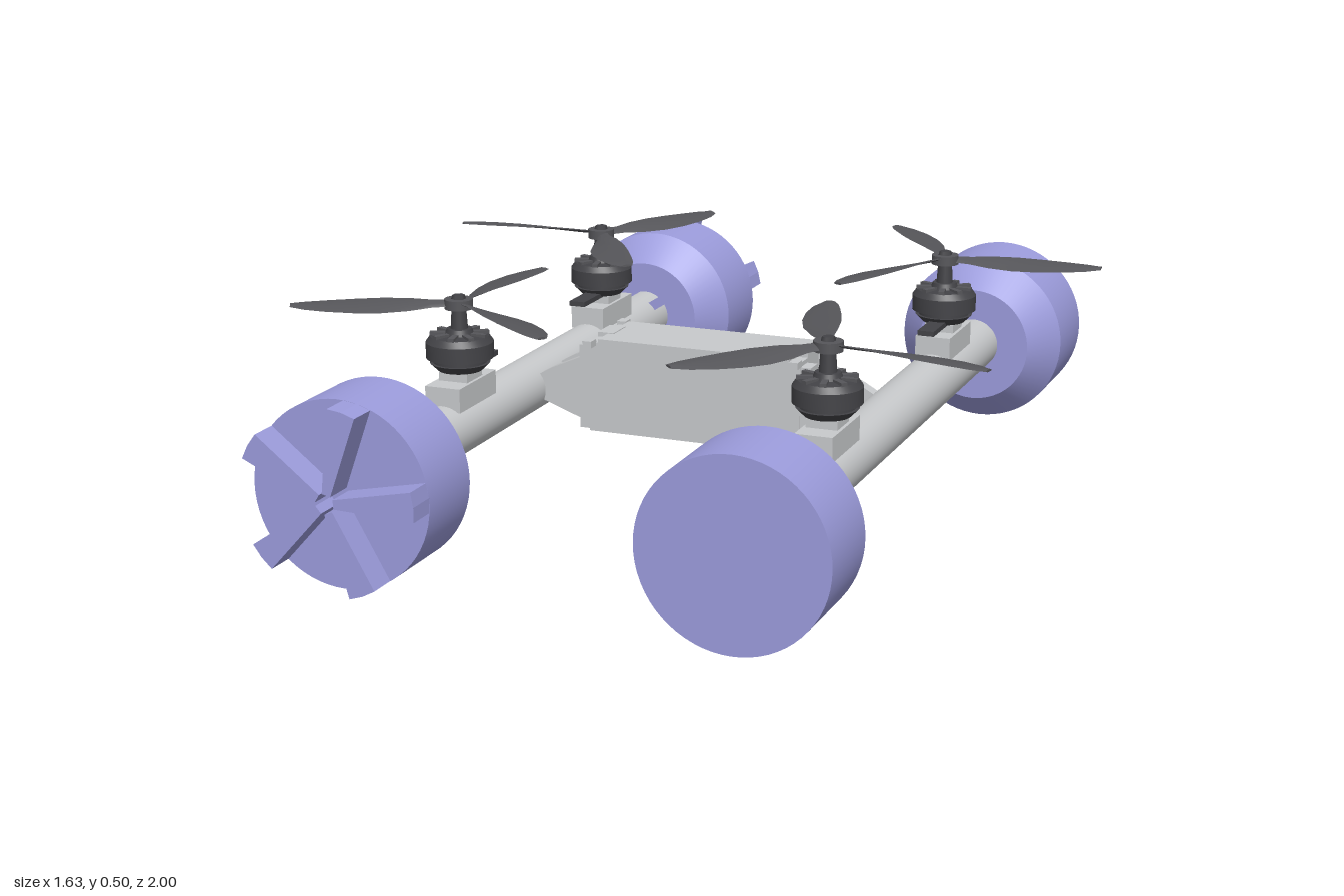
import * as THREE from 'three';
import { toCreasedNormals } from 'three/addons/utils/BufferGeometryUtils.js';

const mat = (name, color, side = THREE.FrontSide) => {
  const m = new THREE.MeshStandardMaterial({ color, side });
  m.name = name;
  return m;
};

export function createModel() {
  const model = new THREE.Group();
  model.name = 'tubeFrameQuadcopter';
  const purple = mat('lavender plastic', 0x9c9cdc);
  const grey = mat('light grey plastic', 0xc8cacc, THREE.DoubleSide);
  const dark = mat('dark grey propeller', 0x56565a);
  const black = mat('charcoal motor', 0x434347);

  const add = (parent, name, geo, material, x = 0, y = 0, z = 0) => {
    const mesh = new THREE.Mesh(geo, material);
    mesh.name = name;
    mesh.position.set(x, y, z);
    parent.add(mesh);
    return mesh;
  };
  const box = (p, name, m, w, h, d, x, y, z) => add(p, name, new THREE.BoxGeometry(w, h, d), m, x, y, z);
  const cyl = (p, name, m, rTop, rBottom, h, x, y, z, seg = 32) =>
    add(p, name, new THREE.CylinderGeometry(rTop, rBottom, h, seg), m, x, y, z);
  const lathe = (pts, seg = 48) =>
    toCreasedNormals(new THREE.LatheGeometry(pts.map(p => new THREE.Vector2(...p)), seg), 0.5);

  // Float: chamfered drum along +z, optionally with five raised radial ribs
  const R = 0.205, tubeX = 0.441, tubeR = 0.063;
  function makeFloat(name, inner, chamferEnd, outer, ribAngle) {
    const g = new THREE.Group();
    g.name = name;
    const drum = lathe([[0, inner], [0.14, inner], [R, chamferEnd], [R, outer], [0, outer]], 64);
    add(g, 'drum', drum.rotateX(Math.PI / 2), purple);
    if (ribAngle !== null) {
      const wedge = new THREE.Shape([[0.02, -0.01], [0.202, -0.032], [0.205, 0], [0.202, 0.032], [0.02, 0.01]]
        .map(p => new THREE.Vector2(...p)));
      const geo = new THREE.ExtrudeGeometry(wedge, { depth: 1.0 - outer + 0.004, bevelEnabled: false });
      for (let i = 0; i < 5; i++) {
        add(g, 'rib', geo, purple, 0, 0, outer - 0.004).rotation.z = ribAngle + i * Math.PI * 0.4;
      }
    }
    return g;
  }

  // Propeller blade along +x, lofted from thin pitched sections
  function bladeGeometry(spin) {
    const stations = [ // radius, chord, sweep, pitch
      [0.015, 0.026, 0, 0.5], [0.06, 0.034, 0.002, 0.42], [0.11, 0.062, 0.006, 0.32], [0.17, 0.084, 0.010, 0.23],
      [0.23, 0.087, 0.010, 0.17], [0.29, 0.076, 0.006, 0.13], [0.34, 0.056, -0.001, 0.10], [0.372, 0.028, -0.008, 0.08]];
    const section = [[-0.5, 0], [-0.2, 0.0035], [0.2, 0.003], [0.5, 0], [0.2, -0.002], [-0.2, -0.002]];
    const n = section.length, pos = [], idx = [];
    for (const [r, chord, sweep, pitch] of stations) {
      for (const [u, t] of section) {
        const w = u * chord;
        pos.push(r, w * Math.sin(pitch) * 0.8 * spin + t, -sweep * spin + w * Math.cos(pitch));
      }
    }
    for (let i = 0; i < stations.length - 1; i++) {
      for (let j = 0; j < n; j++) {
        const a = i * n + j, b = i * n + (j + 1) % n;
        idx.push(a, b, a + n, b, b + n, a + n);
      }
    }
    const last = (stations.length - 1) * n;
    for (let j = 1; j < n - 1; j++) idx.push(0, j + 1, j, last, last + j, last + j + 1);
    const geo = new THREE.BufferGeometry();
    geo.setAttribute('position', new THREE.Float32BufferAttribute(pos, 3));
    geo.setIndex(idx);
    geo.computeVertexNormals();
    return toCreasedNormals(geo, 0.6);
  }

  // Motor with mount, wire plate toward the middle, and three-bladed propeller
  function makeRotor(name, x, z, angle, spin) {
    const g = new THREE.Group();
    g.name = name;
    g.position.set(x, 0, z);
    const inward = -Math.sign(z);
    box(g, 'motorMount', grey, 0.085, 0.055, 0.18, 0, 0.285, 0);
    box(g, 'mountNeck', grey, 0.07, 0.022, 0.075, 0, 0.321, 0);
    box(g, 'wirePlate', black, 0.04, 0.012, 0.15, 0, 0.336, inward * 0.075);
    cyl(g, 'motorBase', black, 0.068, 0.05, 0.018, 0, 0.342, 0);
    cyl(g, 'stator', black, 0.06, 0.06, 0.03, 0, 0.358, 0);
    add(g, 'motorBell', lathe([[0, 0.362], [0.076, 0.362], [0.076, 0.398], [0.066, 0.412], [0.035, 0.414], [0, 0.414]], 36), black);
    for (let i = 0; i < 9; i++) {
      const a = i * Math.PI * 2 / 9;
      const s = box(g, 'bellSpoke', dark, 0.045, 0.014, 0.014, 0.044 * Math.cos(a), 0.412, -0.044 * Math.sin(a));
      s.rotation.y = a;
    }
    cyl(g, 'bellCap', black, 0.028, 0.034, 0.016, 0, 0.42, 0);
    cyl(g, 'shaft', black, 0.016, 0.02, 0.06, 0, 0.45, 0, 20);
    cyl(g, 'propellerHub', dark, 0.032, 0.032, 0.022, 0, 0.484, 0);
    cyl(g, 'shaftNut', black, 0.014, 0.018, 0.014, 0, 0.497, 0, 6);
    const blade = bladeGeometry(spin);
    for (let i = 0; i < 3; i++) {
      add(g, 'propellerBlade', blade, dark, 0, 0.485, 0).rotation.y = THREE.MathUtils.degToRad(angle + i * 120);
    }
    return g;
  }

  // Side tubes; the right one ends in notched sockets
  for (const side of [-1, 1]) {
    const half = side < 0 ? 0.61 : 0.72;
    cyl(model, 'sideTube', grey, tubeR, tubeR, half * 2, side * tubeX, 0.207, 0, 48).rotation.x = Math.PI / 2;
    for (const end of [-1, 1]) {
      const f = side < 0
        ? makeFloat('ribbedFloat', 0.675, 0.752, 0.933, end > 0 ? THREE.MathUtils.degToRad(77) : Math.PI / 2)
        : makeFloat('plainFloat', 0.707, 0.788, 0.987, null);
      f.position.set(side * tubeX, R, 0);
      if (end < 0) f.rotation.y = Math.PI;
      model.add(f);
      if (side > 0) continue;
      for (let i = 0; i < 5; i++) {
        const start = (end > 0 ? 0 : Math.PI) + i * Math.PI * 0.4 + 0.2 + (end > 0 ? Math.PI : 0.43);
        const tab = new THREE.CylinderGeometry(tubeR, tubeR, 0.09, 10, 1, true, start, 0.86);
        add(model, 'socketTab', tab.rotateX(Math.PI / 2), grey, -tubeX, 0.207, end * 0.645);
      }
    }
  }

  // Central body with corner lugs and clamp arms reaching the tubes
  box(model, 'centreBody', grey, 0.52, 0.215, 0.172, 0, 0.2325, 0);
  box(model, 'bodyLid', grey, 0.47, 0.012, 0.18, 0, 0.343, 0);
  for (const side of [-1, 1]) {
    box(model, 'lidLatch', grey, 0.04, 0.012, 0.07, side * 0.24, 0.345, 0);
    for (const end of [-1, 1]) {
      box(model, 'cornerLug', grey, 0.022, 0.016, 0.03, side * 0.253, 0.34, end * 0.1);
      box(model, 'endFlange', grey, 0.03, 0.2, 0.045, side * 0.27, 0.23, end * 0.062);
      const arm = new THREE.Shape([[0.26, 0.14], [0.385, 0.185], [0.395, 0.245], [0.36, 0.265], [0.26, 0.31]]
        .map(p => new THREE.Vector2(p[0] * side, p[1])));
      const geo = new THREE.ExtrudeGeometry(arm, { depth: 0.032, bevelEnabled: false });
      add(model, 'clampArm', geo, grey, 0, 0, end * 0.06 - 0.016);
    }
  }

  // Four rotors
  model.add(makeRotor('backRightRotor', -tubeX, -0.395, 62, -1));
  model.add(makeRotor('backLeftRotor', tubeX, -0.435, 4, -1));
  model.add(makeRotor('frontRightRotor', -tubeX, 0.385, 86, 1));
  model.add(makeRotor('frontLeftRotor', tubeX, 0.425, -10, 1));
  return model;
}
